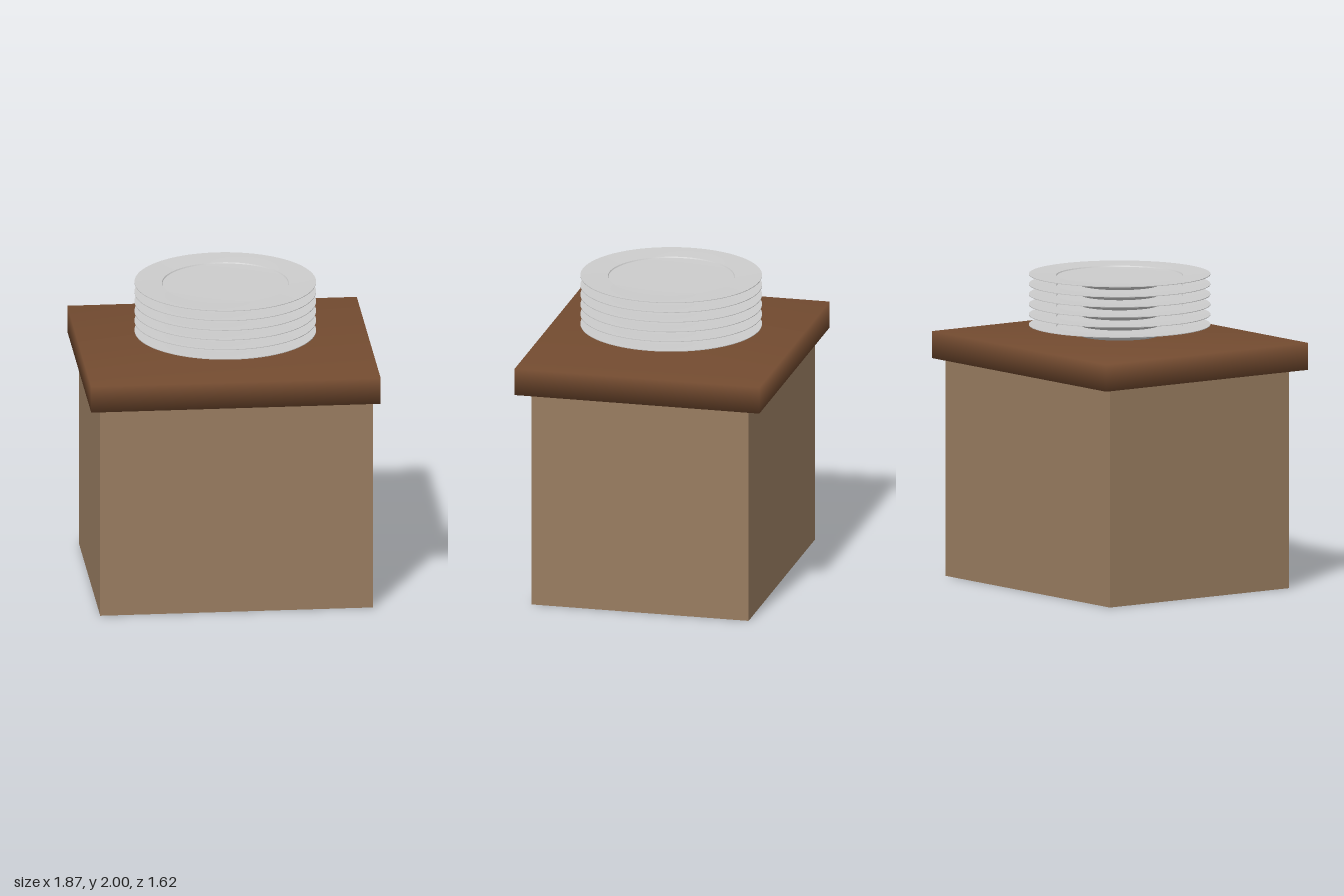
import * as THREE from 'three';
import { mergeVertices, toCreasedNormals } from 'three/addons/utils/BufferGeometryUtils.js';

const material = (color) => new THREE.MeshStandardMaterial({ color });

function addPart(group, name, geometry, mat, x, y, z) {
  const mesh = new THREE.Mesh(geometry, mat);
  mesh.name = name;
  mesh.position.set(x, y, z);
  group.add(mesh);
}

// Box whose corners share one smooth normal each
function smoothBox(w, h, d) {
  const box = new THREE.BoxGeometry(w, h, d);
  box.deleteAttribute('normal');
  box.deleteAttribute('uv');
  const smooth = mergeVertices(box);
  smooth.computeVertexNormals();
  return smooth;
}

// Plate profile, from the underside centre out to the rim and back over the well
function plateGeometry() {
  const profile = [
    [0, -0.084], [0.03, -0.083], [0.035, -0.076], [0.23, -0.074], [0.255, -0.07],
    [0.268, -0.06], [0.28, -0.05], [0.3, -0.042], [0.34, -0.035], [0.45, -0.02],
    [0.583, -0.004], [0.583, 0], [0.5, -0.003], [0.407, -0.008],
    [0.403, -0.015], [0.3, -0.017], [0, -0.018],
  ].map(([r, y]) => new THREE.Vector2(r, y));
  return toCreasedNormals(new THREE.LatheGeometry(profile, 96), 0.6);
}

export function createModel() {
  const model = new THREE.Group();

  // Cabinet and overhanging top
  addPart(model, 'cabinetBody', new THREE.BoxGeometry(1.76, 1.415, 1.435), material(0x987c60), 0.015, 0.7075, -0.012);
  addPart(model, 'countertop', smoothBox(1.866, 0.175, 1.62), material(0x734b30), 0, 1.5025, 0);

  // Stack of six plates
  const stack = new THREE.Group();
  stack.name = 'plateStack';
  const plate = plateGeometry();
  const china = material(0xcccccc);
  for (let i = 0; i < 6; i++) addPart(stack, `plate${i + 1}`, plate, china, 0.008, 2 - 0.0655 * (5 - i), 0.003);
  model.add(stack);

  return model;
}
